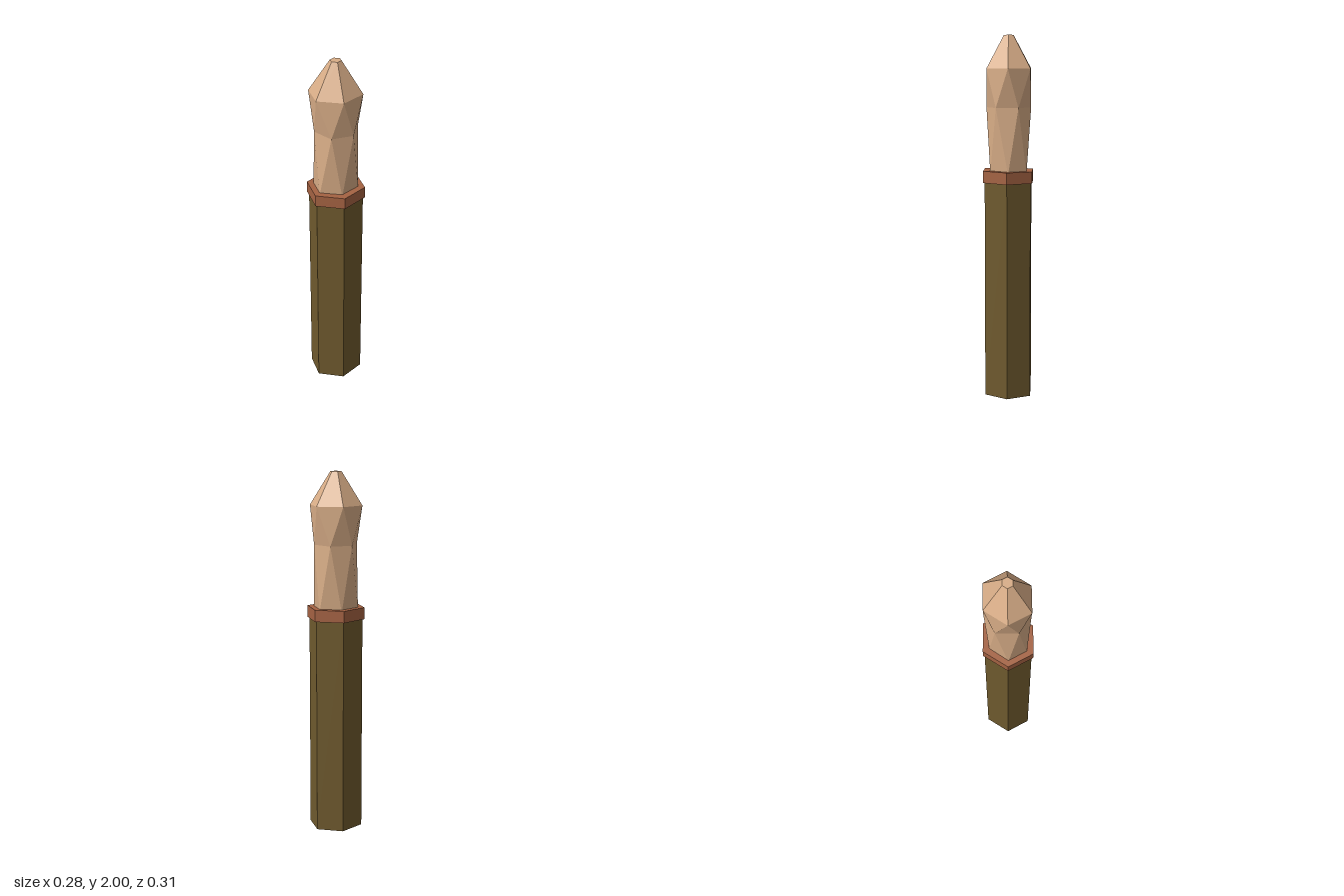
import * as THREE from 'three';

const SIDES = 6;

// Six-sided ring at height y with separate x and z radii; turn is in steps of one side
function ring(y, rx, rz, turn = 0, cx = 0, cz = 0) {
  return Array.from({ length: SIDES }, (_, k) => {
    const a = ((k + turn) * 2 * Math.PI) / SIDES;
    return new THREE.Vector3(cx + rx * Math.sin(a), y, cz + rz * Math.cos(a));
  });
}

// Faceted tip: base, half-turned waist, shoulder and blunt point
function tipGeometry() {
  const base = ring(1.25, 0.126, 0.111, 0, 0, -0.002);
  const waist = ring(1.61, 0.121, 0.123, 0.5, 0.002, -0.002);
  const shoulder = ring(1.82, 0.147, 0.135, 0, 0, -0.004);
  const point = ring(2, 0.031, 0.029, 0, 0, -0.003);
  const crown = new THREE.Vector3(0, 2, -0.003);
  const corners = [];
  for (let k = 0; k < SIDES; k++) {
    const n = (k + 1) % SIDES;
    corners.push(
      base[k], base[n], waist[k],
      waist[k], base[n], waist[n],
      shoulder[k], waist[k], shoulder[n],
      waist[k], waist[n], shoulder[n],
      shoulder[k], shoulder[n], point[n],
      shoulder[k], point[n], point[k],
      point[k], point[n], crown
    );
  }
  const geometry = new THREE.BufferGeometry().setFromPoints(corners);
  geometry.computeVertexNormals();
  return geometry;
}

// Hexagonal bar with flat faces, corners on the z axis
function hexBar(radius, bottom, top) {
  const geometry = new THREE.CylinderGeometry(radius, radius, top - bottom, SIDES);
  geometry.translate(0, (bottom + top) / 2, 0);
  const flat = geometry.toNonIndexed();
  flat.computeVertexNormals();
  return flat;
}

export function createModel() {
  const model = new THREE.Group();
  model.name = 'hexagonalTool';

  const material = (name, color) => {
    const m = new THREE.MeshStandardMaterial({ color });
    m.name = name;
    return m;
  };
  const add = (name, geometry, mat) => {
    const mesh = new THREE.Mesh(geometry, mat);
    mesh.name = name;
    model.add(mesh);
  };

  add('handle', hexBar(0.151, 0, 1.2), material('oliveBrown', 0x6f5a2e));
  add('collar', hexBar(0.162, 1.2, 1.265).scale(1, 1, 0.945), material('copper', 0xa56343));
  add('tip', tipGeometry(), material('paleWood', 0xd8ad87));
  // Handle corners are slightly pulled in along z
  model.getObjectByName('handle').geometry.scale(1, 1, 0.947);

  return model;
}
